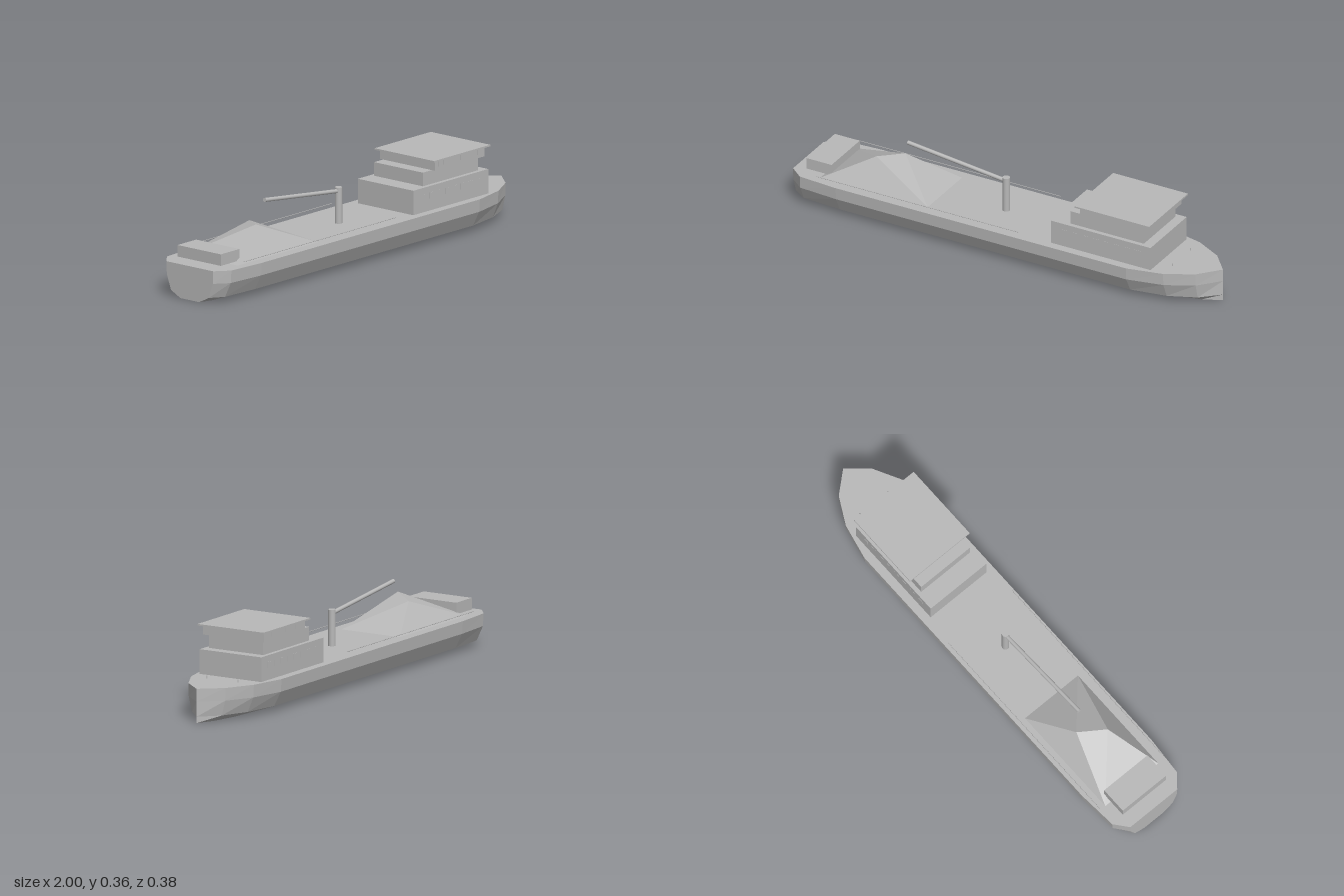
import * as THREE from 'three';
import { ConvexGeometry } from 'three/addons/geometries/ConvexGeometry.js';

const grey = new THREE.MeshStandardMaterial({ color: 0xb8b8b8 });
grey.name = 'light grey';

const DECK = 0.147;

function part(group, name, geometry, x = 0, y = 0, z = 0) {
  const mesh = new THREE.Mesh(geometry, grey);
  mesh.name = name;
  mesh.position.set(x, y, z);
  group.add(mesh);
  return mesh;
}

// Box given by its x and y limits and its half width in z
function block(group, name, x0, x1, y0, y1, half) {
  return part(group, name, new THREE.BoxGeometry(x1 - x0, y1 - y0, half * 2), (x0 + x1) / 2, (y0 + y1) / 2, 0);
}

// Round bar between two points
function bar(group, name, from, to, radius, sides = 12) {
  const a = new THREE.Vector3(...from), b = new THREE.Vector3(...to);
  const mesh = part(group, name, new THREE.CylinderGeometry(radius, radius, a.distanceTo(b), sides));
  mesh.position.copy(a).add(b).multiplyScalar(0.5);
  mesh.quaternion.setFromUnitVectors(new THREE.Vector3(0, 1, 0), b.sub(a).normalize());
  return mesh;
}

// Hull lofted from one cross-section scaled by the deck half width at each station
function hullGeometry() {
  const stations = [[-1, 0.13], [-0.94, 0.179], [-0.76, 0.192], [0.64, 0.192], [0.8, 0.157], [0.92, 0.093], [1, 0]];
  const side = [[1, DECK], [0.98, 0.092], [0.805, 0.027], [0.4, 0]];
  const section = [...side, ...side.slice().reverse().map(([w, y]) => [-w, y])];
  const n = section.length;
  const point = (i, j) => [stations[i][0], section[j % n][1], section[j % n][0] * stations[i][1]];
  const pos = [];
  for (let i = 0; i < stations.length - 1; i++) {
    for (let j = 0; j < n; j++) {
      const a = point(i, j), b = point(i, j + 1), c = point(i + 1, j + 1), d = point(i + 1, j);
      pos.push(...a, ...b, ...d, ...b, ...c, ...d);
    }
  }
  // Transom
  for (let k = 1; k < n - 1; k++) pos.push(...point(0, 0), ...point(0, k + 1), ...point(0, k));
  const g = new THREE.BufferGeometry();
  g.setAttribute('position', new THREE.Float32BufferAttribute(pos, 3));
  g.computeVertexNormals();
  return g;
}

// Row of thin window plates on both sides of a tier
function windows(group, name, x0, x1, y, height, half, count) {
  const step = (x1 - x0) / count;
  for (const s of [1, -1]) {
    for (let i = 0; i < count; i++) {
      part(group, name, new THREE.BoxGeometry(step * 0.55, height, 0.002), x0 + step * (i + 0.5), y, s * half);
    }
  }
}

export function createModel() {
  const ship = new THREE.Group();
  ship.name = 'cargoShip';

  part(ship, 'hull', hullGeometry());

  // Deckhouse tiers, bridge and roof
  const house = new THREE.Group();
  house.name = 'deckhouse';
  ship.add(house);
  block(house, 'lowerTier', 0.257, 0.738, DECK, 0.253, 0.154);
  block(house, 'middleTier', 0.34, 0.695, 0.253, 0.312, 0.135);
  block(house, 'bridge', 0.397, 0.715, 0.312, 0.353, 0.152);
  block(house, 'bridgeRoof', 0.377, 0.738, 0.353, 0.36, 0.165);
  windows(house, 'cabinWindow', 0.3, 0.7, 0.212, 0.025, 0.154, 8);
  windows(house, 'bridgeWindow', 0.41, 0.7, 0.338, 0.022, 0.152, 8);

  // Locker on the after deck
  block(ship, 'sternLocker', -0.94, -0.82, 0.157, 0.207, 0.12);

  // Heap of loose cargo with a short sloping ridge
  part(ship, 'cargoHeap', new ConvexGeometry([
    [-0.86, DECK, -0.148], [-0.86, DECK, 0.145], [-0.343, DECK, 0.145], [-0.343, DECK, -0.148],
    [-0.64, 0.267, 0.055], [-0.56, 0.252, -0.05],
  ].map(p => new THREE.Vector3(...p))));

  // Deck crane
  bar(ship, 'cranePost', [-0.045, DECK, 0], [-0.045, 0.303, 0], 0.016, 16);
  bar(ship, 'craneBoom', [-0.045, 0.286, 0], [-0.52, 0.34, 0], 0.009, 12);

  // Side rails and bow bollards
  for (const s of [1, -1]) {
    bar(ship, 'sideRail', [-0.86, 0.169, s * 0.178], [0.117, 0.169, s * 0.178], 0.0015, 6);
    bar(ship, 'bowBollard', [0.8, DECK, s * 0.077], [0.8, 0.16, s * 0.077], 0.0025, 8);
  }
  return ship;
}
